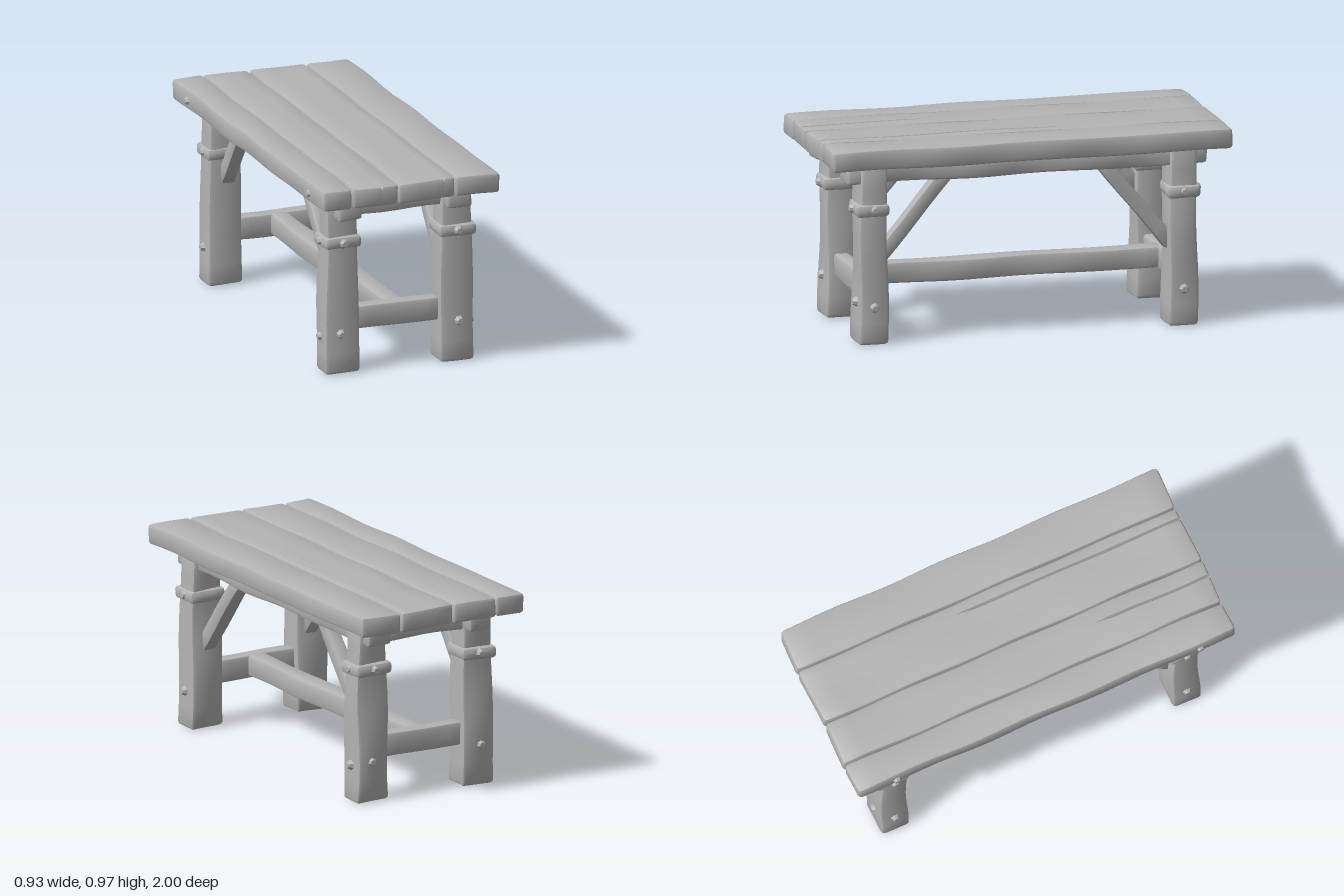
import * as THREE from 'three';
import { mergeVertices, toCreasedNormals } from 'three/addons/utils/BufferGeometryUtils.js';

const wood = new THREE.MeshStandardMaterial({ color: 0xb4b4b4 });
wood.name = 'grey wood';

// Grid lines along one axis: bevel lines at both ends, even steps between
function gridLines(size, bevel, step, extra = []) {
  const h = size / 2, inner = h - bevel, n = Math.max(1, Math.round(size / step));
  const lines = [-h, h, ...extra];
  for (let i = 0; i <= n; i++) lines.push(-inner + (2 * inner * i) / n);
  return lines.sort((a, b) => a - b);
}

// Hand-hewn beam: bevelled, gently wobbly box
// options: bevel, step, wobble, seed, top (scale at upper end), groove {x, z0, z1}
function hewn(sx, sy, sz, o = {}) {
  const { bevel = 0.016, step = 0.09, wobble = 0.005, seed = 1, top = 1, groove } = o;
  const size = [sx, sy, sz];
  const extra = groove ? [groove.x - 0.007, groove.x, groove.x + 0.007] : [];
  const lines = size.map((s, i) => gridLines(s, bevel, step, i === 0 ? extra : []));
  const seg = lines.map((l) => l.length - 1);
  let geo = new THREE.BoxGeometry(1, 1, 1, ...seg);
  geo.deleteAttribute('normal');
  geo.deleteAttribute('uv');
  geo = mergeVertices(geo, 1e-5);
  const pos = geo.attributes.position;
  const p = new THREE.Vector3(), core = new THREE.Vector3();
  for (let i = 0; i < pos.count; i++) {
    const raw = [0, 1, 2].map((k) =>
      lines[k][Math.round((pos.getComponent(i, k) + 0.5) * seg[k])]);
    p.fromArray(raw);
    core.fromArray(raw.map((v, k) =>
      THREE.MathUtils.clamp(v, bevel - size[k] / 2, size[k] / 2 - bevel)));
    p.sub(core).setLength(bevel).add(core);
    // split along the grain
    if (groove && raw[0] === groove.x && raw[1] > sy / 2 - 0.001 &&
        raw[2] > groove.z0 && raw[2] < groove.z1) p.y -= 0.018;
    const { x, y, z } = p;
    const taper = 1 + (top - 1) * (y / sy + 0.5);
    p.x = x * taper + wobble * Math.sin(9 * y + 11 * z + seed * 2.3) * Math.cos(17 * x + seed);
    p.y = y + wobble * 0.6 * Math.sin(13 * x + 8 * z + seed * 1.7);
    p.z = z * taper + wobble * Math.sin(10 * y + 12 * x + seed * 3.1);
    pos.setXYZ(i, p.x, p.y, p.z);
  }
  return toCreasedNormals(geo, 0.7);
}

export function createModel() {
  const table = new THREE.Group();
  table.name = 'rustic table';
  const add = (name, geo, x, y, z, parent = table) => {
    const mesh = new THREE.Mesh(geo, wood);
    mesh.name = name;
    mesh.position.set(x, y, z);
    parent.add(mesh);
    return mesh;
  };

  // Four planks of the top, some with splits
  const planks = [
    { x0: -0.45, x1: -0.297 },
    { x0: -0.293, x1: -0.062, groove: { x: 0.03, z0: 0.4, z1: 1.1 } },
    { x0: -0.058, x1: 0.233, groove: { x: 0.085, z0: -0.12, z1: 1.1 } },
    { x0: 0.237, x1: 0.457 },
  ];
  planks.forEach(({ x0, x1, groove }, i) => add('plank',
    hewn(x1 - x0, 0.1, 1.99, { bevel: 0.017, step: 0.1, wobble: 0.004, seed: i + 1, groove }),
    (x0 + x1) / 2, 0.919, 0));

  // Wooden peg head, axis along the given side
  const pegGeo = toCreasedNormals(new THREE.CylinderGeometry(0.014, 0.03, 0.03, 7), 0.5);
  const peg = (x, y, z, axis, sign, parent) => {
    const m = add('peg', pegGeo, x, y, z, parent);
    if (axis === 'x') m.rotation.z = -sign * Math.PI / 2;
    else m.rotation.x = sign * Math.PI / 2;
  };
  for (const z of [-0.79, 0.81]) peg(-0.45, 0.915, z, 'x', -1);

  // Legs with collars and pegs
  for (const sx of [-1, 1]) {
    for (const sz of [-1, 1]) {
      const leg = new THREE.Group();
      leg.name = (sz > 0 ? 'front' : 'back') + (sx > 0 ? 'Left' : 'Right') + 'Leg';
      leg.position.set(sx > 0 ? 0.299 : -0.289, 0, sz > 0 ? 0.773 : -0.767);
      table.add(leg);
      const seed = 3 + sx + 2 * sz;
      add('post', hewn(0.18, 0.874, 0.148, { bevel: 0.018, top: 0.86, seed }), 0, 0.437, 0, leg);
      add('collar', hewn(0.186, 0.062, 0.168, { bevel: 0.02, step: 0.06, wobble: 0.005, seed }),
        0, 0.658, sz * 0.004, leg);
      // knots on the collar's outer sides
      peg(sx * 0.09, 0.658, 0, 'x', sx, leg);
      peg(0, 0.658, sz * 0.088, 'z', sz, leg);
      // pegs holding the stretcher
      peg(sx * 0.091, 0.18, 0, 'x', sx, leg);
      peg(0.01 * sx, 0.2, sz * 0.075, 'z', sz, leg);
    }
  }

  // Long rails under the top, ends showing past the legs
  for (const sx of [-1, 1]) {
    add('longRail', hewn(0.122, 0.095, 1.79, { seed: 4 + sx, wobble: 0.006 }),
      sx > 0 ? 0.29 : -0.272, 0.829, 0.005);
  }

  // Cross rails and low stretchers at both ends
  for (const sz of [-1, 1]) {
    add('crossRail', hewn(0.5, 0.096, 0.1, { seed: 6 + sz }), 0.005, 0.828, sz * 0.77);
    add('crossStretcher', hewn(0.5, 0.117, 0.08, { seed: 8 + sz, wobble: 0.003 }),
      0.005, 0.261, sz * 0.77);
  }
  add('longStretcher', hewn(0.1, 0.104, 1.54, { seed: 5, wobble: 0.004 }), 0.005, 0.264, 0);

  // Diagonal braces: leg end and rail end as [z, y]
  const braces = [
    { x: 0.292, leg: [0.7, 0.445], rail: [0.415, 0.78] },
    { x: -0.28, leg: [0.7, 0.445], rail: [0.415, 0.78] },
    { x: 0.292, leg: [-0.69, 0.425], rail: [-0.405, 0.78] },
    { x: -0.28, leg: [-0.69, 0.57], rail: [-0.53, 0.78] },
  ];
  braces.forEach(({ x, leg, rail }, i) => {
    const dz = rail[0] - leg[0], dy = rail[1] - leg[1];
    const brace = add('brace',
      hewn(0.07, Math.hypot(dz, dy) + 0.1, 0.07, { bevel: 0.01, wobble: 0.003, seed: i + 2 }),
      x, (leg[1] + rail[1]) / 2, (leg[0] + rail[0]) / 2);
    brace.rotation.x = Math.atan2(dz, dy);
  });

  return table;
}
